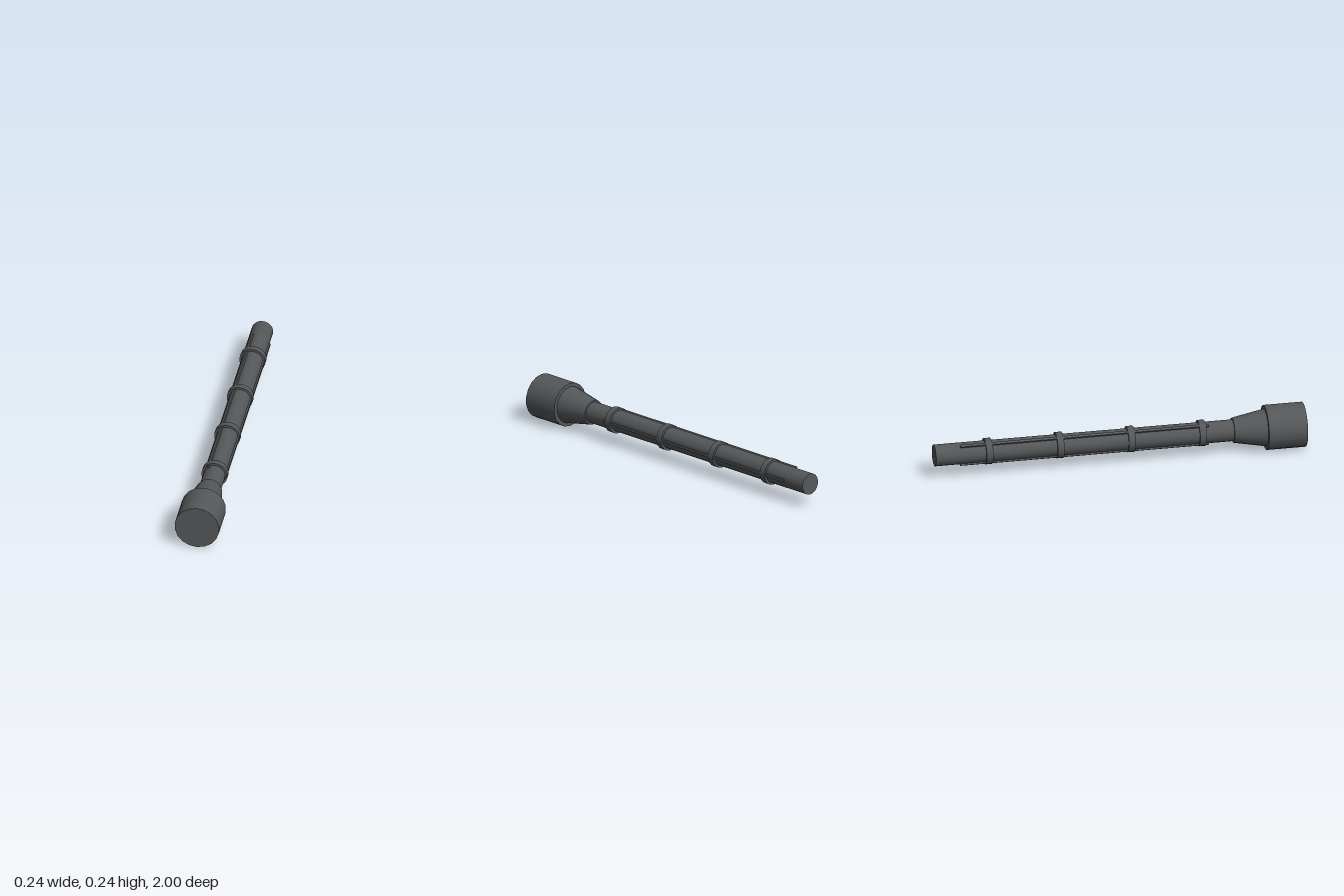
import * as THREE from 'three';

const SIDES = 18;
const AXIS_Y = 0.12;

export function createModel() {
  const model = new THREE.Group();
  model.name = 'ribbedTube';
  const material = new THREE.MeshStandardMaterial({ color: 0x55585a });

  const add = (name, geometry) => {
    const mesh = new THREE.Mesh(geometry, material);
    mesh.name = name;
    mesh.position.y = AXIS_Y;
    model.add(mesh);
  };

  // Round section along z, from the back end to the front end
  const section = (name, zBack, zFront, rBack, rFront = rBack) => {
    const g = new THREE.CylinderGeometry(rFront, rBack, zFront - zBack, SIDES);
    g.rotateX(Math.PI / 2).translate(0, 0, (zBack + zFront) / 2);
    add(name, g);
  };

  // Head, tapered neck and shaft
  section('head', 0.79, 1, 0.12);
  section('neck', 0.615, 0.79, 0.067, 0.1);
  section('shaft', -1, 0.615, 0.058);

  // Four evenly spaced bands
  for (let i = 0; i < 4; i++) {
    const z = 0.445 - i * 0.385;
    section('band' + (i + 1), z - 0.018, z + 0.018, 0.07);
  }

  // Three thin rails around the shaft
  for (let i = 0; i < 3; i++) {
    const rail = new THREE.BoxGeometry(0.016, 0.015, 1.345);
    rail.translate(0.058, 0, -0.1925).rotateZ((i * Math.PI * 2) / 3);
    add('rail' + (i + 1), rail);
  }

  return model;
}
